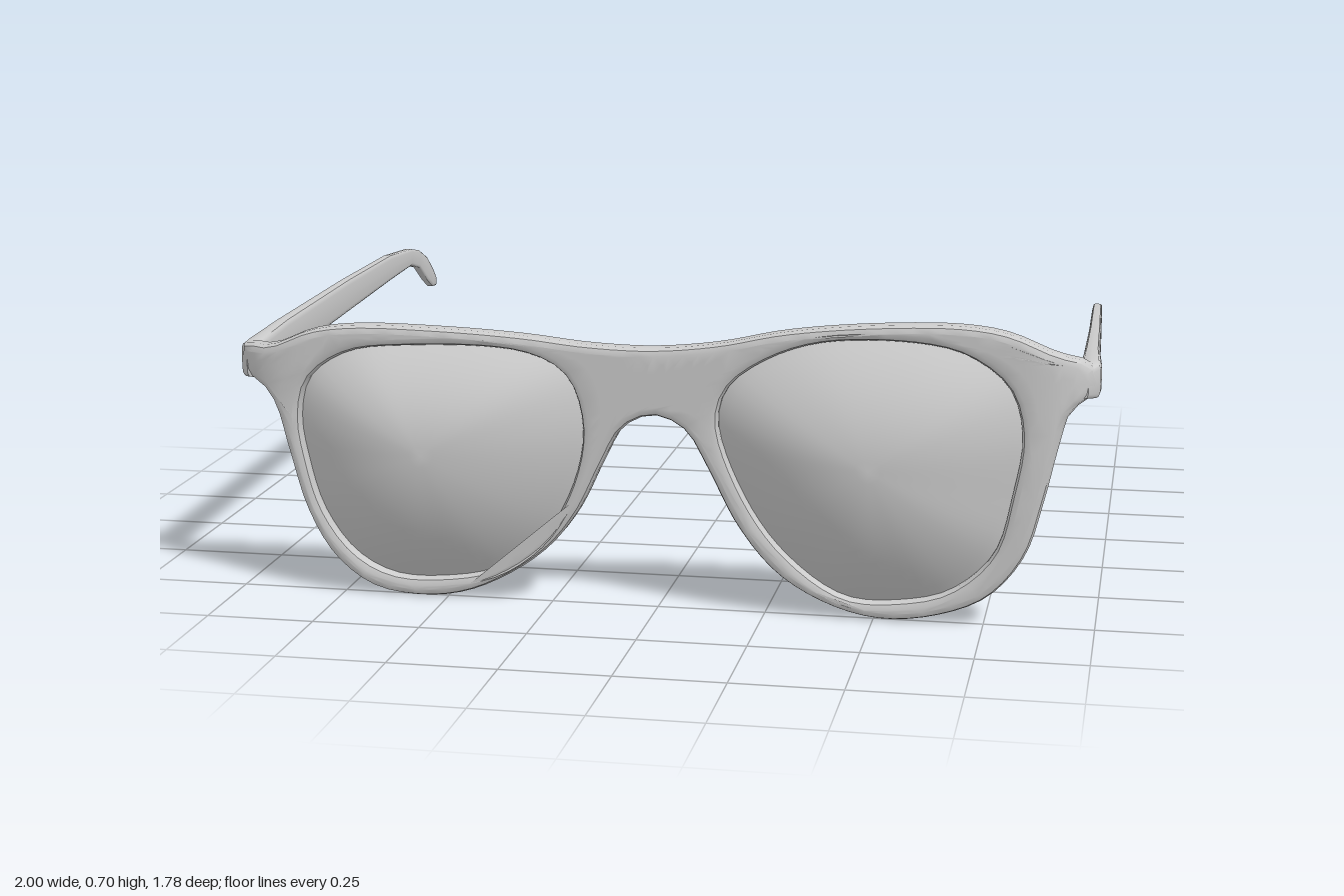
import * as THREE from 'three';
import { toCreasedNormals } from 'three/addons/utils/BufferGeometryUtils.js';

const grey = new THREE.MeshStandardMaterial({ color: 0xcccccc });
const greyThin = new THREE.MeshStandardMaterial({ color: 0xcccccc, side: THREE.DoubleSide });

// Outline of the front frame, clockwise from the upper right hinge
const OUTLINE = [
  [-0.985, 0.585], [-0.9, 0.595], [-0.8, 0.635], [-0.7, 0.65], [-0.5, 0.65], [-0.3, 0.64],
  [-0.15, 0.625], [0, 0.622], [0.15, 0.638], [0.3, 0.67], [0.5, 0.692], [0.7, 0.697],
  [0.8, 0.682], [0.9, 0.64], [0.975, 0.61], [0.99, 0.57], [0.975, 0.535], [0.935, 0.51],
  [0.91, 0.43], [0.88, 0.3], [0.84, 0.17], [0.76, 0.07], [0.65, 0.02], [0.52, 0.003],
  [0.4, 0.03], [0.28, 0.1], [0.19, 0.21], [0.12, 0.35], [0.07, 0.435], [0, 0.465],
  [-0.07, 0.435], [-0.12, 0.35], [-0.18, 0.23], [-0.25, 0.14], [-0.35, 0.065], [-0.46, 0.015],
  [-0.57, 0.001], [-0.68, 0.02], [-0.77, 0.09], [-0.83, 0.2], [-0.87, 0.35], [-0.9, 0.46],
  [-0.935, 0.5], [-0.98, 0.515], [-0.992, 0.55],
];
// Lens openings, anticlockwise; the two differ slightly in height
const RIGHT_LENS = [
  [-0.825, 0.33], [-0.79, 0.2], [-0.72, 0.1], [-0.63, 0.052], [-0.5, 0.05], [-0.375, 0.08],
  [-0.26, 0.17], [-0.185, 0.31], [-0.165, 0.44], [-0.2, 0.55], [-0.29, 0.6], [-0.58, 0.607],
  [-0.72, 0.585], [-0.81, 0.52], [-0.835, 0.43],
];
const LEFT_LENS = [
  [0.205, 0.28], [0.3, 0.145], [0.435, 0.052], [0.57, 0.05], [0.675, 0.08], [0.77, 0.17],
  [0.81, 0.31], [0.83, 0.455], [0.8, 0.56], [0.71, 0.63], [0.6, 0.655], [0.38, 0.648],
  [0.25, 0.6], [0.17, 0.535], [0.147, 0.455],
];

// Smooth closed contour through a few points
function contour(points, count) {
  const curve = new THREE.CatmullRomCurve3(points.map(([x, y]) => new THREE.Vector3(x, y, 0)), true);
  return curve.getSpacedPoints(count).slice(0, count).map(p => new THREE.Vector2(p.x, p.y));
}

// Normals are averaged in an enlarged copy so that fine bevels stay distinct
function smoothed(geo, angle) {
  geo.scale(100, 100, 100);
  return toCreasedNormals(geo, angle).scale(0.01, 0.01, 0.01);
}

// Halve long triangle edges so that a surface can be bent evenly
function subdivide(geo, maxEdge) {
  const p = geo.attributes.position, out = [], stack = [];
  for (let i = 0; i < p.count; i += 3) {
    stack.push([0, 1, 2].map(k => new THREE.Vector3().fromBufferAttribute(p, i + k)));
  }
  while (stack.length) {
    const t = stack.pop();
    const lengths = t.map((v, k) => v.distanceTo(t[(k + 1) % 3]));
    const longest = Math.max(...lengths), k = lengths.indexOf(longest);
    if (longest <= maxEdge) {
      for (const v of t) out.push(v.x, v.y, v.z);
      continue;
    }
    const a = t[k], b = t[(k + 1) % 3], c = t[(k + 2) % 3];
    const mid = a.clone().add(b).multiplyScalar(0.5);
    stack.push([a, mid, c], [mid, b, c]);
  }
  return new THREE.BufferGeometry().setAttribute('position', new THREE.Float32BufferAttribute(out, 3));
}

// Mid-plane depth: leans forward at the top and wraps back at the hinges
function frameZ(x, y) {
  const wrap = Math.max(0, (Math.abs(x) - 0.8) / 0.19);
  return 0.739 + 0.075 * y - 0.07 * wrap ** 3;
}

function makeFrame() {
  const shape = new THREE.Shape(contour(OUTLINE, 150));
  for (const lens of [RIGHT_LENS, LEFT_LENS]) shape.holes.push(new THREE.Path(contour(lens, 60)));
  const geo = subdivide(new THREE.ExtrudeGeometry(shape, {
    depth: 0.03, bevelThickness: 0.019, bevelSize: 0.017, bevelOffset: -0.017, bevelSegments: 2,
  }), 0.05);
  const p = geo.attributes.position;
  for (let i = 0; i < p.count; i++) {
    p.setZ(i, p.getZ(i) - 0.015 + frameZ(p.getX(i), p.getY(i)));
  }
  const mesh = new THREE.Mesh(smoothed(geo, 0.65), grey);
  mesh.name = 'frontFrame';
  return mesh;
}

// Domed lens: concentric copies of the opening, raised towards the middle
function makeLens(name, points, cx, cy) {
  const rim = contour(points, 60), n = rim.length, rings = 12;
  const pos = [], index = [];
  for (let k = 0; k <= rings; k++) {
    const r = k / rings;
    for (const v of rim) {
      const x = cx + (v.x - cx) * r * 1.015, y = cy + (v.y - cy) * r * 1.015;
      pos.push(x, y, 0.741 + 0.075 * y + 0.122 * (1 - r * r));
    }
  }
  for (let k = 0; k < rings; k++) {
    for (let i = 0; i < n; i++) {
      const a = k * n + i, b = k * n + (i + 1) % n;
      if (k > 0) index.push(a, a + n, b);
      index.push(b, a + n, b + n);
    }
  }
  const geo = new THREE.BufferGeometry();
  geo.setAttribute('position', new THREE.Float32BufferAttribute(pos, 3));
  geo.setIndex(index);
  geo.computeVertexNormals();
  // The centre ring is a single point, so it faces straight ahead
  for (let i = 0; i < n; i++) geo.attributes.normal.setXYZ(i, 0, 0, 1);
  const mesh = new THREE.Mesh(geo, greyThin);
  mesh.name = name;
  return mesh;
}

// Temple arm: rounded rectangular sections [z, x, top, bottom, thickness] from hinge to tip
function makeTemple(name, stations) {
  const m = 16, pos = [], index = [];
  const square = (v) => Math.sign(v) * Math.abs(v) ** 0.4;
  for (const [z, x, top, bottom, w] of stations) {
    for (let j = 0; j < m; j++) {
      const a = (j / m) * Math.PI * 2;
      pos.push(x + square(Math.cos(a)) * w / 2, (top + bottom) / 2 + square(Math.sin(a)) * (top - bottom) / 2, z);
    }
  }
  const last = stations.length - 1;
  for (let k = 0; k < last; k++) {
    for (let j = 0; j < m; j++) {
      const a = k * m + j, b = k * m + (j + 1) % m;
      index.push(a, a + m, b, b, a + m, b + m);
    }
  }
  // End caps
  for (let j = 1; j < m - 1; j++) {
    index.push(0, j, j + 1, last * m, last * m + j + 1, last * m + j);
  }
  const geo = new THREE.BufferGeometry();
  geo.setAttribute('position', new THREE.Float32BufferAttribute(pos, 3));
  geo.setIndex(index);
  const mesh = new THREE.Mesh(smoothed(geo, 0.7), grey);
  mesh.name = name;
  return mesh;
}

export function createModel() {
  const group = new THREE.Group();
  group.name = 'glasses';
  group.add(makeFrame());
  group.add(makeLens('rightLens', RIGHT_LENS, -0.52, 0.37));
  group.add(makeLens('leftLens', LEFT_LENS, 0.5, 0.38));

  // The left arm slopes down; the right arm runs level
  group.add(makeTemple('leftTemple', [
    [0.765, 0.95, 0.6, 0.535, 0.04], [0.73, 0.967, 0.61, 0.53, 0.056], [0.69, 0.972, 0.61, 0.528, 0.048],
    [0.5, 0.967, 0.597, 0.518, 0.038], [0, 0.957, 0.548, 0.48, 0.031], [-0.5, 0.945, 0.5, 0.444, 0.027],
    [-0.64, 0.942, 0.485, 0.433, 0.025], [-0.71, 0.94, 0.463, 0.41, 0.024], [-0.78, 0.938, 0.432, 0.372, 0.023],
    [-0.84, 0.936, 0.392, 0.339, 0.022], [-0.875, 0.935, 0.363, 0.333, 0.018], [-0.89, 0.935, 0.35, 0.336, 0.01],
  ]));
  group.add(makeTemple('rightTemple', [
    [0.765, -0.95, 0.58, 0.51, 0.04], [0.73, -0.967, 0.586, 0.503, 0.056], [0.69, -0.972, 0.588, 0.502, 0.048],
    [0.5, -0.975, 0.596, 0.506, 0.037], [0, -0.981, 0.604, 0.522, 0.03], [-0.38, -0.984, 0.604, 0.536, 0.027],
    [-0.58, -0.986, 0.588, 0.541, 0.025], [-0.66, -0.987, 0.572, 0.52, 0.024], [-0.74, -0.987, 0.538, 0.468, 0.023],
    [-0.79, -0.987, 0.5, 0.443, 0.022], [-0.825, -0.987, 0.47, 0.44, 0.018], [-0.84, -0.987, 0.455, 0.443, 0.01],
  ]));
  return group;
}
